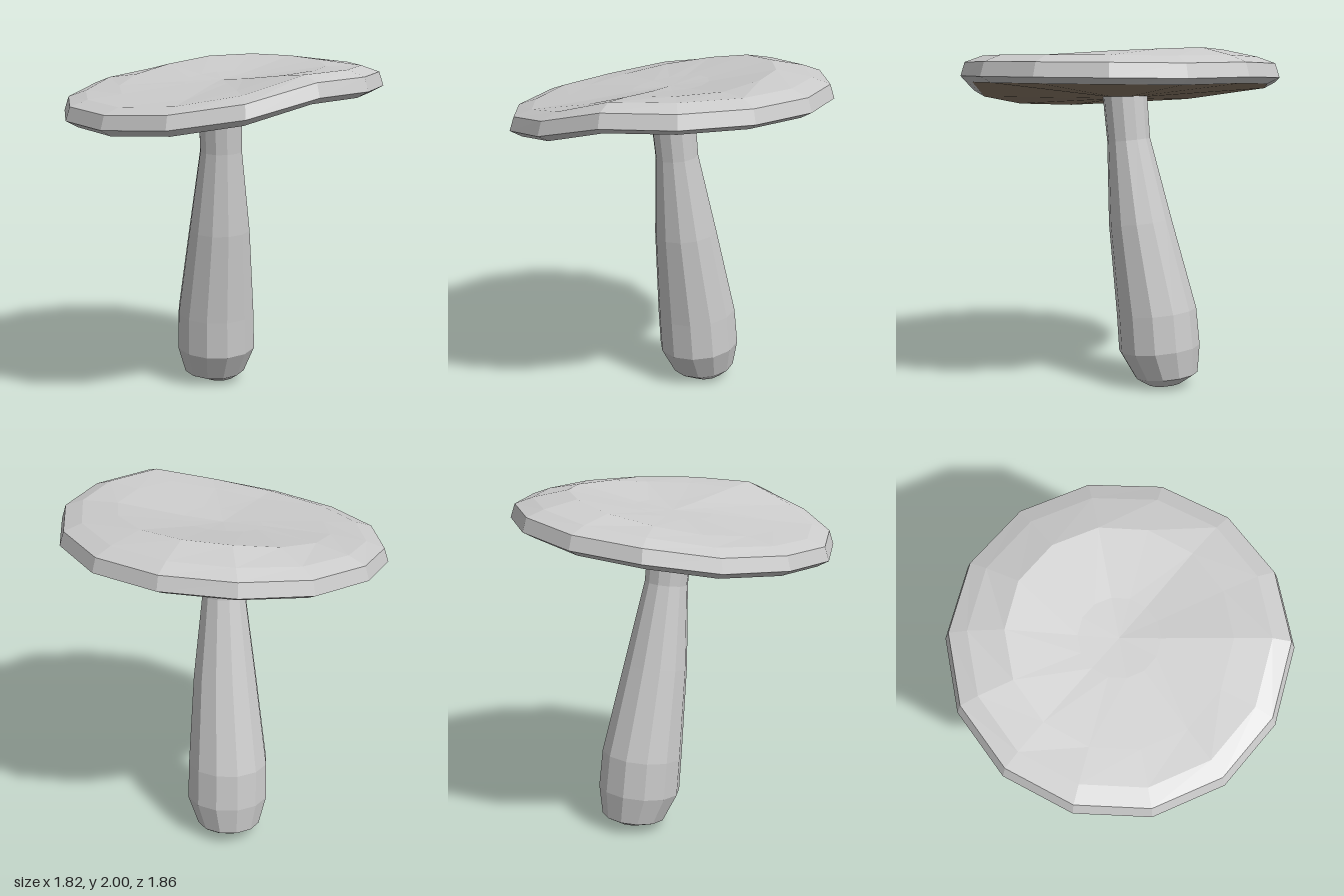
import * as THREE from 'three';

// Skin a list of equal-length loops, ordered from bottom to top, with flat facets.
function loft(loops, material, name) {
  const pos = [];
  const tri = (a, b, c) => pos.push(...a, ...b, ...c);
  for (let i = 0; i < loops.length - 1; i++) {
    const lo = loops[i], hi = loops[i + 1], n = lo.length;
    for (let k = 0; k < n; k++) {
      const m = (k + 1) % n;
      if (lo[k] !== lo[m]) tri(lo[k], lo[m], hi[m]);
      if (hi[k] !== hi[m]) tri(lo[k], hi[m], hi[k]);
    }
  }
  const geo = new THREE.BufferGeometry();
  geo.setAttribute('position', new THREE.Float32BufferAttribute(pos, 3));
  geo.computeVertexNormals();
  const mesh = new THREE.Mesh(geo, material);
  mesh.name = name;
  return mesh;
}

// A loop of n points; angle 0 is the front and runs towards +x.
function loop(n, radius, height, cx = 0, cz = 0, turn = 0) {
  return Array.from({ length: n }, (_, k) => {
    const a = (k / n) * Math.PI * 2 + turn;
    const x = radius * Math.sin(a), z = radius * Math.cos(a);
    return [cx + x, height(k, x, z), cz + z];
  });
}

const point = (n, x, y, z) => {
  const p = [x, y, z];
  return Array(n).fill(p);
};

export function createModel() {
  const group = new THREE.Group();
  const grey = new THREE.MeshStandardMaterial({ color: 0xcccccc, flatShading: true });
  const brown = new THREE.MeshStandardMaterial({ color: 0x8c7b68, flatShading: true });

  // Cap: wavy rim heights and the heights of the ridge around the dip, from the front
  const sides = 14, turn = -0.015;
  const rim = [1.655, 1.675, 1.735, 1.835, 1.845, 1.85, 1.85, 1.845, 1.845, 1.83, 1.79, 1.75, 1.695, 1.67];
  const ridge = [1.80, 1.81, 1.86, 1.935, 1.95, 1.96, 1.985, 1.995, 2.0, 1.985, 1.94, 1.89, 1.84, 1.81];
  const ring = (r, height) => loop(sides, r, height, 0, 0, turn);
  const underRim = ring(0.86, k => rim[k] - 0.036);

  const cap = new THREE.Group();
  cap.name = 'cap';
  cap.add(loft([
    underRim,
    ring(0.928, k => rim[k]),
    ring(0.903, k => rim[k] + 0.079),
    ring(0.8, k => rim[k] + 0.115),
    ring(0.6, k => ridge[k]),
    ring(0.22, k => 1.885 + (ridge[k] - 1.9) * 0.3),
    point(sides, 0, 1.88, 0),
  ], grey, 'capTop'));

  // Gills: shallow cone under the cap
  cap.add(loft([point(sides, 0, 1.7, 0), underRim], brown, 'gills'));
  group.add(cap);

  // Stem: leaning, bulging rings [x, y, z, radius], each square to the lean
  const stemRings = [
    [-0.205, 0.02, -0.19, 0.1],
    [-0.22, 0.068, -0.168, 0.187],
    [-0.185, 0.23, -0.145, 0.24],
    [-0.172, 0.45, -0.13, 0.236],
    [-0.09, 0.98, -0.075, 0.185],
    [-0.035, 1.46, -0.03, 0.126],
    [-0.02, 1.74, -0.005, 0.13],
  ];
  const n = 12;
  const stemLoops = stemRings.map(([x, y, z, r]) =>
    loop(n, r, (k, dx, dz) => y - 0.075 * (dx + dz), x, z));
  group.add(loft([point(n, -0.205, 0.005, -0.2), ...stemLoops], grey, 'stem'));

  // Rest the lowest point on the ground
  const minY = new THREE.Box3().setFromObject(group).min.y;
  group.position.y = -minY;
  return group;
}
